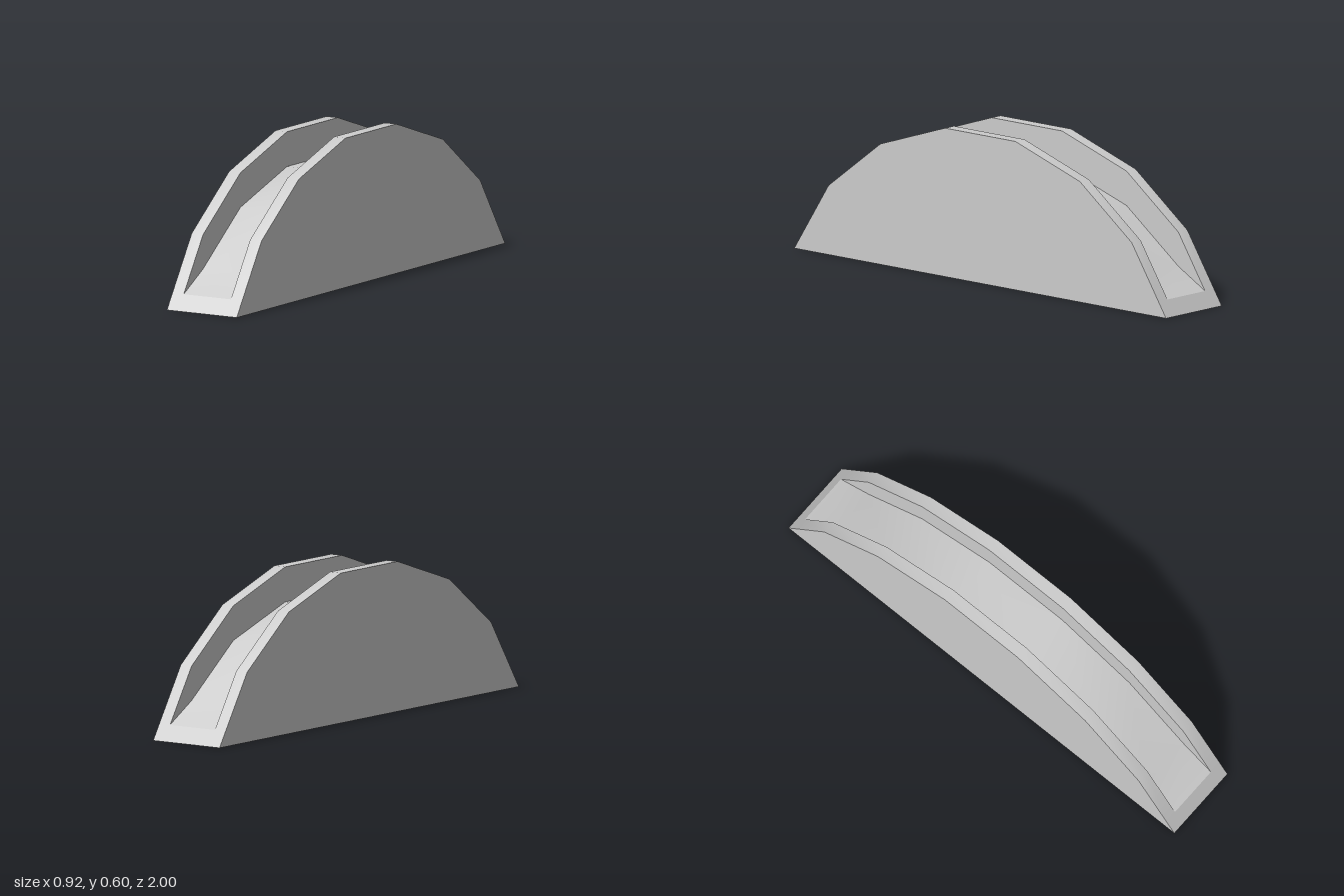
import * as THREE from 'three';

const HALF_WIDTH = 0.163, HALF_GROOVE = 0.11, HOLE_RADIUS = 0.075;

// Half profiles from the end towards the middle, as [length, height]
const mirrored = half => [...half.map(([u, y]) => [-u, y]), ...[...half].reverse()];
const rimProfile = mirrored([[0.997, 0], [0.956, 0.0625], [0.813, 0.28], [0.535, 0.487], [0.189, 0.6]]);
const floorProfile = mirrored([[0.956, 0.0625], [0.813, 0.142], [0.535, 0.348], [0.189, 0.46]]);

const polygon = points => new THREE.Shape(points.map(([u, y]) => new THREE.Vector2(u, y)));

// Smooth band that follows a profile between two widths
function band(profile, w0, w1) {
  const positions = [], index = [];
  profile.forEach(([u, y], i) => {
    positions.push(u, y, w0, u, y, w1);
    if (i === profile.length - 1) return;
    const a = 2 * i;
    index.push(a, a + 1, a + 3, a, a + 3, a + 2);
  });
  const geometry = new THREE.BufferGeometry();
  geometry.setAttribute('position', new THREE.Float32BufferAttribute(positions, 3));
  geometry.setIndex(index);
  geometry.computeVertexNormals();
  return geometry;
}

export function createModel() {
  const grey = new THREE.MeshStandardMaterial({ color: 0xcccccc, side: THREE.DoubleSide });
  grey.name = 'light grey';

  const body = new THREE.Group();
  body.name = 'archedTrough';
  const add = (name, geometry) => {
    const mesh = new THREE.Mesh(geometry, grey);
    mesh.name = name;
    body.add(mesh);
    return mesh;
  };

  // Flat walls, outside and inside the groove
  const outerShape = polygon(rimProfile);
  const innerShape = polygon([...rimProfile.slice(1, -1), ...floorProfile.slice(1, -1).reverse()]);
  for (const side of [-1, 1]) {
    const outer = add('outerWall', new THREE.ShapeGeometry(outerShape));
    outer.position.z = side * HALF_WIDTH;
    outer.rotation.y = side > 0 ? 0 : Math.PI;

    const inner = add('grooveWall', new THREE.ShapeGeometry(innerShape));
    inner.position.z = side * HALF_GROOVE;
    inner.rotation.y = side > 0 ? Math.PI : 0;

    // Narrow rim along the top of each wall
    const edges = [side * HALF_WIDTH, side * HALF_GROOVE].sort((a, b) => a - b);
    add('rim', band(rimProfile, ...edges));
  }

  // Groove floor and the sloping lips at both ends
  add('grooveFloor', band(floorProfile, -HALF_GROOVE, HALF_GROOVE));
  add('endLip', band(rimProfile.slice(0, 2), -HALF_GROOVE, HALF_GROOVE));
  add('endLip', band(rimProfile.slice(-2), -HALF_GROOVE, HALF_GROOVE));

  // Underside with a round opening into the hollow body
  const L = 0.997, W = HALF_WIDTH;
  const baseShape = polygon([[-L, -W], [L, -W], [L, W], [-L, W]]);
  baseShape.holes.push(new THREE.Path().absarc(0, 0, HOLE_RADIUS, 0, Math.PI * 2, true));
  add('base', new THREE.ShapeGeometry(baseShape, 24)).rotation.x = Math.PI / 2;

  // Turn the long axis to its diagonal position
  body.rotation.y = 1.2626;
  const model = new THREE.Group();
  model.name = 'model';
  model.add(body);
  return model;
}
